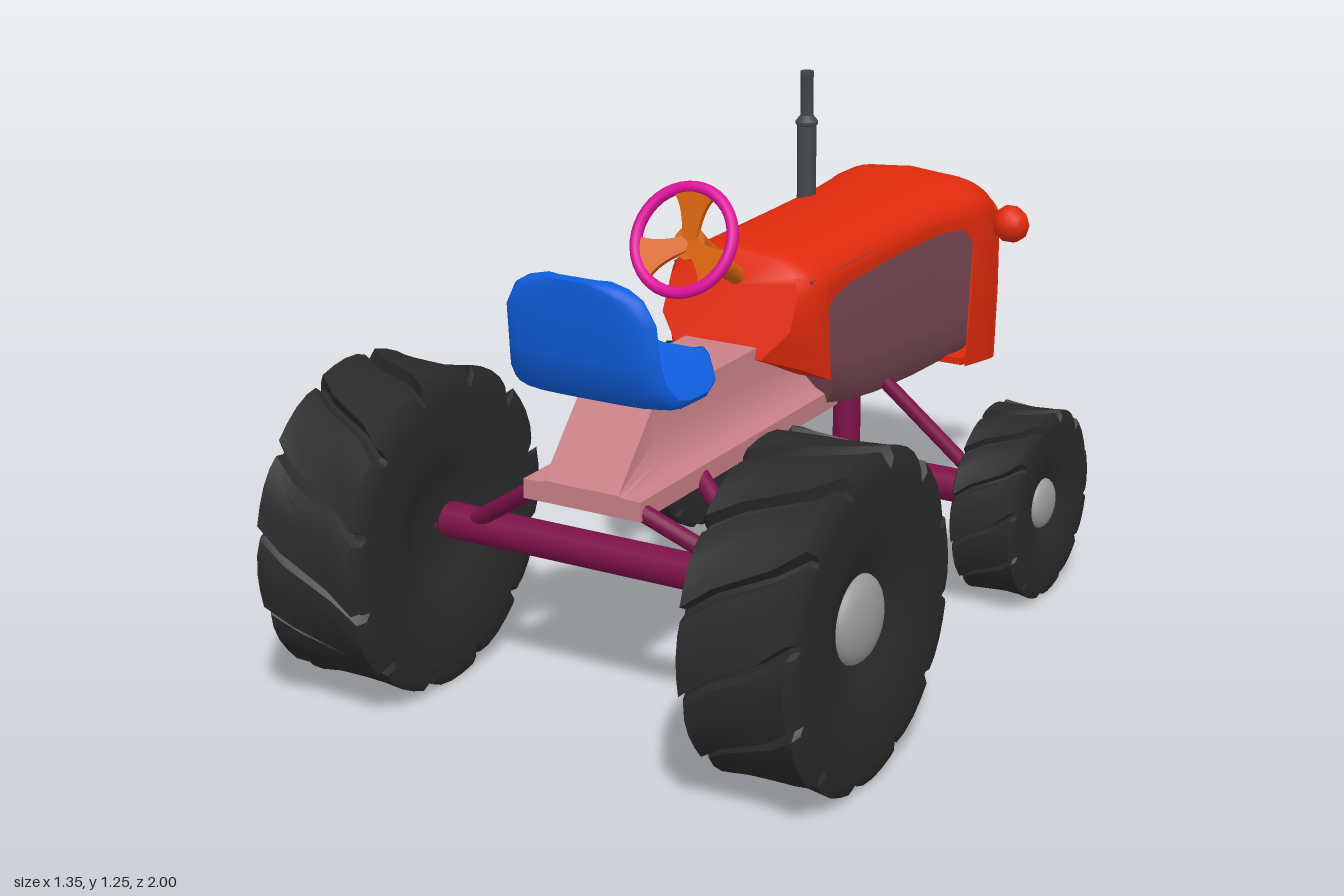
import * as THREE from 'three';
import { toCreasedNormals, mergeVertices } from 'three/addons/utils/BufferGeometryUtils.js';

const mat = (color) => new THREE.MeshStandardMaterial({ color, side: THREE.DoubleSide });
const V = (x, y, z) => new THREE.Vector3(x, y, z);
const lerp = THREE.MathUtils.lerp;

function add(parent, name, geo, material) {
  const m = new THREE.Mesh(geo, material);
  m.name = name;
  parent.add(m);
  return m;
}

// Skin a list of cross-sections; closed joins the ends of each section
function loft(rows, { closed = true, caps = true, crease = 0.7 } = {}) {
  const n = rows[0].length, pos = [], idx = [];
  rows.forEach((r) => r.forEach((p) => pos.push(p.x, p.y, p.z)));
  for (let i = 0; i < rows.length - 1; i++) {
    for (let j = 0; j < (closed ? n : n - 1); j++) {
      const k = (j + 1) % n, a = i * n + j, b = i * n + k;
      idx.push(a, b, a + n, b, b + n, a + n);
    }
  }
  if (caps) {
    [0, rows.length - 1].forEach((ri, end) => {
      const c = rows[ri].reduce((s, p) => s.add(p), V(0, 0, 0)).divideScalar(n);
      const ci = pos.length / 3;
      pos.push(c.x, c.y, c.z);
      for (let j = 0; j < n; j++) {
        const a = ri * n + j, b = ri * n + (j + 1) % n;
        end ? idx.push(ci, a, b) : idx.push(ci, b, a);
      }
    });
  }
  const g = new THREE.BufferGeometry();
  g.setAttribute('position', new THREE.Float32BufferAttribute(pos, 3));
  g.setIndex(idx);
  return toCreasedNormals(mergeVertices(g), crease);
}

// Outline from its right half, bottom to top
const mirrored = (half) => [...half, ...half.slice().reverse().map((p) => V(-p.x, p.y, p.z))];

// Round bar between two points
function bar(a, b, r0, r1 = r0, seg = 16) {
  const d = b.clone().sub(a);
  const g = new THREE.CylinderGeometry(r1, r0, d.length(), seg);
  g.applyQuaternion(new THREE.Quaternion().setFromUnitVectors(V(0, 1, 0), d.normalize()));
  return g.translate((a.x + b.x) / 2, (a.y + b.y) / 2, (a.z + b.z) / 2);
}

// Half-width, radius and groove depth across the tyre, inner face to outer face
function tyre(R, halfWidth) {
  const half = [[0.66, 0.02, 0], [0.7, 0.26, 0], [0.82, 0.36, 0], [0.94, 0.52, 0], [1, 0.7, 0], [1, 0.84, 0],
    [0.99, 0.94, 0.07], [0.9, 1, 0.09], [0.45, 0.985, 0.075]];
  const profile = [...half.map(([u, r, d]) => [-u, r, d]), [0, 0.98, 0.07], ...half.reverse()];
  const rows = [];
  // Each lug rises gently from its groove, then drops steeply
  const steps = [[0, 0], [0.03, 1], [0.1, 1], [0.17, 0.35], [0.34, 0.1], [0.56, 0], [0.78, 0]];
  for (let lug = 0; lug < 12; lug++) {
    for (const [f, groove] of steps) {
      rows.push(profile.map(([u, r, d]) => {
        const a = (lug + f) * Math.PI / 6 - (0.18 * u + 0.08 * u ** 3) * Math.min(1, r * r);
        const rr = R * (r - d * groove);
        return V(u * halfWidth, rr * Math.cos(a), rr * Math.sin(a));
      }));
    }
  }
  rows.push(rows[0].map((p) => p.clone()));
  return loft(rows, { closed: false, caps: false, crease: 0.55 });
}

// Hood arch: right foot, rounded shoulders, left foot; z leans from top to foot
function arch(zTop, zFoot, w, wFoot, top, foot) {
  const r = Math.min(0.09, (top - foot) * 0.8), pts = [];
  for (let i = 0; i <= 4; i++) {
    pts.push([lerp(wFoot, w, Math.min(1, i / 2)), lerp(foot, top - r, i / 4)]);
  }
  for (let i = 1; i <= 8; i++) {
    const a = i * Math.PI / 16;
    pts.push([w - 0.13 * (1 - Math.cos(a)), top - r + (r - 0.008) * Math.sin(a)]);
  }
  pts.push([0, top]);
  const side = pts.map(([x, y]) => V(x, y, lerp(zTop, zFoot, (top - y) / (top - foot))));
  return [...side, ...side.slice(0, -1).reverse().map((p) => V(-p.x, p.y, p.z))];
}

export function createModel() {
  const g = new THREE.Group();
  g.name = 'tractor';
  const red = mat(0xe02a0c), pink = mat(0xc88086), plum = mat(0x7a4a54), purple = mat(0x7c1048),
    blue = mat(0x0f5fe0), magenta = mat(0xe0109c), orange = mat(0xd9630e), black = mat(0x2a2a2a),
    grey = mat(0x999999), iron = mat(0x45484a), cream = mat(0xe8e4cc), grilleMat = mat(0x6a5c5e);

  // Wheels
  for (const [label, R, hw, x, z] of [['rear', 0.376, 0.137, 0.538, 0.622], ['front', 0.236, 0.085, 0.485, -0.533]]) {
    const tyreGeo = tyre(R, hw);
    const hubGeo = new THREE.SphereGeometry(R * 0.265, 24, 8, 0, Math.PI * 2, 0, Math.PI / 2)
      .scale(1, 0.42, 1).rotateZ(-Math.PI / 2);
    for (const s of [1, -1]) {
      const wheel = new THREE.Group();
      wheel.name = label + (s > 0 ? 'LeftWheel' : 'RightWheel');
      add(wheel, 'tyre', tyreGeo, black);
      add(wheel, 'hub', hubGeo, grey).position.x = hw * 0.69;
      wheel.position.set(s * x, R + 0.004, z);
      wheel.scale.x = s;
      g.add(wheel);
    }
  }

  // Axles and struts
  add(g, 'rearAxle', bar(V(-0.46, 0.38, 0.57), V(0.46, 0.38, 0.57), 0.042), purple);
  add(g, 'frontAxle', bar(V(-0.45, 0.242, -0.535), V(0.45, 0.242, -0.535), 0.042), purple);
  add(g, 'frontPost', bar(V(0, 0.24, -0.535), V(0, 0.52, -0.535), 0.035), purple);
  for (const s of [1, -1]) {
    add(g, 'frontStrut', bar(V(s * 0.39, 0.26, -0.53), V(s * 0.15, 0.53, -0.43), 0.018), purple);
    for (const z of [0.42, 0.68]) {
      add(g, 'rearStrut', bar(V(s * 0.39, 0.38, 0.57), V(s * 0.13, 0.55, z), 0.02), purple);
    }
  }

  // Chassis beam with flared foot; its web slopes down at the back
  const beam = (z, rise) => mirrored([[0.15, 0.53], [0.15, 0.575], [0.128, 0.59], [0.108, 0.62], [0.097, 0.66], [0.095, 0.745]]
    .map(([x, y]) => V(x, y > 0.575 ? 0.575 + (y - 0.575) * rise : y, z)));
  add(g, 'chassis', loft([beam(0.7, 0.03), beam(0.55, 1), beam(-0.2, 1)], { crease: 0.5 }), pink);

  // Engine block with sagging belly
  const engine = [[0.0, -0.15, 0.535], [-0.12, -0.25, 0.51], [-0.35, -0.4, 0.488], [-0.6, -0.6, 0.472], [-0.9, -0.9, 0.46]]
    .map(([zTop, zBot, b]) => mirrored([[0.1, b], [0.15, b + 0.015], [0.178, b + 0.06], [0.186, b + 0.15], [0.184, 0.89]]
      .map(([x, y]) => V(x, y, lerp(zBot, zTop, (y - b) / (0.89 - b))))));
  add(g, 'engineBlock', loft(engine), plum);

  // Solid cowl under the steering column
  const cowlFront = [-0.05, -0.08, 0.195, 0.195, 0.95, 0.632];
  const cowl = [[0.0, 0.11, 0.17, 0.112, 0.945, 0.72], [-0.02, 0.03, 0.192, 0.17, 0.95, 0.685], cowlFront];
  add(g, 'cowl', loft(cowl.map((s) => arch(...s)), { crease: 0.8 }), red);

  // Hood shell: top cover and nose
  const hood = [cowlFront,
    [-0.08, -0.035, 0.195, 0.195, 0.95, 0.78], [-0.13, -0.09, 0.193, 0.193, 0.95, 0.83],
    [-0.18, -0.18, 0.19, 0.19, 0.95, 0.845], [-0.45, -0.45, 0.19, 0.19, 0.95, 0.85],
    [-0.65, -0.65, 0.195, 0.195, 0.95, 0.848], [-0.76, -0.76, 0.209, 0.209, 0.95, 0.835],
    [-0.8, -0.805, 0.215, 0.215, 0.95, 0.79], [-0.82, -0.78, 0.218, 0.21, 0.95, 0.468],
    [-0.88, -0.86, 0.22, 0.212, 0.948, 0.457], [-0.925, -0.925, 0.217, 0.21, 0.933, 0.447],
    [-0.955, -0.955, 0.211, 0.205, 0.905, 0.441]].map((s) => arch(...s));
  add(g, 'hood', loft(hood, { closed: false, caps: false, crease: 0.8 }), red);

  // Nose floor ending in a forward lip
  const floor = [[-0.78, 0.2, 0.47], [-0.96, 0.205, 0.443], [-0.985, 0.195, 0.436], [-1, 0.175, 0.43]]
    .map(([z, w, y]) => mirrored([V(w, y, z), V(w, y + 0.018, z)]));
  add(g, 'noseFloor', loft(floor), red);

  // Nose frame with rounded edges and a recessed grille
  const outline = hood[hood.length - 1].map((p) => new THREE.Vector2(p.x, p.y));
  const inset = outline.map((p) => new THREE.Vector2(p.x * 0.76, (p.y - 0.665) * 0.78 + 0.675));
  const frame = new THREE.Shape(outline);
  frame.holes.push(new THREE.Path(inset));
  const frameGeo = new THREE.ExtrudeGeometry(frame, {
    depth: 0.008, bevelThickness: 0.014, bevelSize: 0.016, bevelOffset: -0.016, bevelSegments: 3, curveSegments: 4,
  });
  add(g, 'noseFrame', toCreasedNormals(frameGeo, 0.8), red).position.z = -0.967;
  add(g, 'grille', new THREE.ShapeGeometry(new THREE.Shape(inset)), grilleMat).position.z = -0.966;

  // Headlights
  for (const s of [1, -1]) {
    const lamp = new THREE.Group();
    lamp.name = s > 0 ? 'leftHeadlight' : 'rightHeadlight';
    const dome = () => new THREE.SphereGeometry(0.05, 10, 4, 0, Math.PI * 2, 0, Math.PI / 2);
    add(lamp, 'lampShell', dome().rotateX(Math.PI / 2), red);
    add(lamp, 'lampLens', dome().scale(0.96, 0.7, 0.96).rotateX(-Math.PI / 2), cream);
    add(lamp, 'lampBracket', bar(V(-s * 0.06, 0, 0.015), V(0, 0, 0.015), 0.02, 0.02, 8), red);
    lamp.position.set(s * 0.25, 0.81, -0.958);
    g.add(lamp);
  }

  // Exhaust pipe
  const pipe = [[0.024, 0.93], [0.024, 1.115], [0.028, 1.118], [0.028, 1.125], [0.016, 1.14], [0.016, 1.235],
    [0.017, 1.237], [0.017, 1.25], [0.011, 1.25], [0.011, 1.2], [0, 1.2]];
  add(g, 'exhaust', toCreasedNormals(new THREE.LatheGeometry(pipe.map((p) => new THREE.Vector2(...p)), 16), 0.6), iron)
    .position.set(-0.118, 0, -0.53);

  // Steering wheel with flared spokes, and column
  const steering = new THREE.Group();
  steering.name = 'steeringWheel';
  add(steering, 'steeringRim', new THREE.TorusGeometry(0.122, 0.014, 10, 40), magenta);
  const flare = new THREE.Shape();
  flare.moveTo(-0.018, 0);
  flare.lineTo(0.018, 0);
  flare.quadraticCurveTo(0.02, 0.08, 0.054, 0.112);
  flare.lineTo(0, 0.124);
  flare.lineTo(-0.054, 0.112);
  flare.quadraticCurveTo(-0.02, 0.08, -0.018, 0);
  const spokeGeo = new THREE.ExtrudeGeometry(flare, { depth: 0.014, bevelEnabled: false, curveSegments: 8 })
    .rotateX(0.25).translate(0, 0, -0.037);
  for (let i = 0; i < 3; i++) {
    add(steering, 'spoke', spokeGeo, orange).rotation.z = i * Math.PI * 2 / 3;
  }
  steering.position.set(0, 1.03, 0.262);
  steering.rotation.x = -0.48;
  g.add(steering);
  add(g, 'steeringColumn', bar(V(0, 0.87, 0.0), V(0, 0.995, 0.2), 0.02, 0.03), orange);
  add(g, 'columnHead', bar(V(0, 0.99, 0.19), V(0, 1.018, 0.24), 0.029, 0.04), orange);

  // Seat: a dished pan that sweeps up into the backrest
  const spine = [[0.288, 0.777, 0.07], [0.31, 0.772, 0.095], [0.36, 0.768, 0.13], [0.44, 0.767, 0.185], [0.52, 0.766, 0.214],
    [0.6, 0.768, 0.213], [0.645, 0.782, 0.208], [0.678, 0.82, 0.198], [0.694, 0.88, 0.19], [0.705, 0.97, 0.187],
    [0.71, 1.02, 0.16], [0.712, 1.042, 0.125], [0.712, 1.054, 0.08]];
  const seat = spine.map(([z, y, w], i) => {
    const p = spine[Math.max(i - 1, 0)], q = spine[Math.min(i + 1, spine.length - 1)];
    const dz = q[0] - p[0], dy = q[1] - p[1], l = Math.hypot(dz, dy);
    const ny = dz / l, nz = -dy / l; // towards the sitter
    const row = [];
    for (let k = 0; k < 24; k++) {
      const a = k * Math.PI / 12, c = Math.cos(a), s = Math.sin(a);
      const u = Math.sign(c) * Math.abs(c) ** 0.7;
      const h = 0.016 * Math.sign(s) * Math.abs(s) ** 0.5 + 0.018 * u ** 8;
      row.push(V(u * w, y + ny * h, z + nz * h));
    }
    return row;
  });
  add(g, 'seat', loft(seat, { crease: 0.9 }), blue);

  return g;
}
